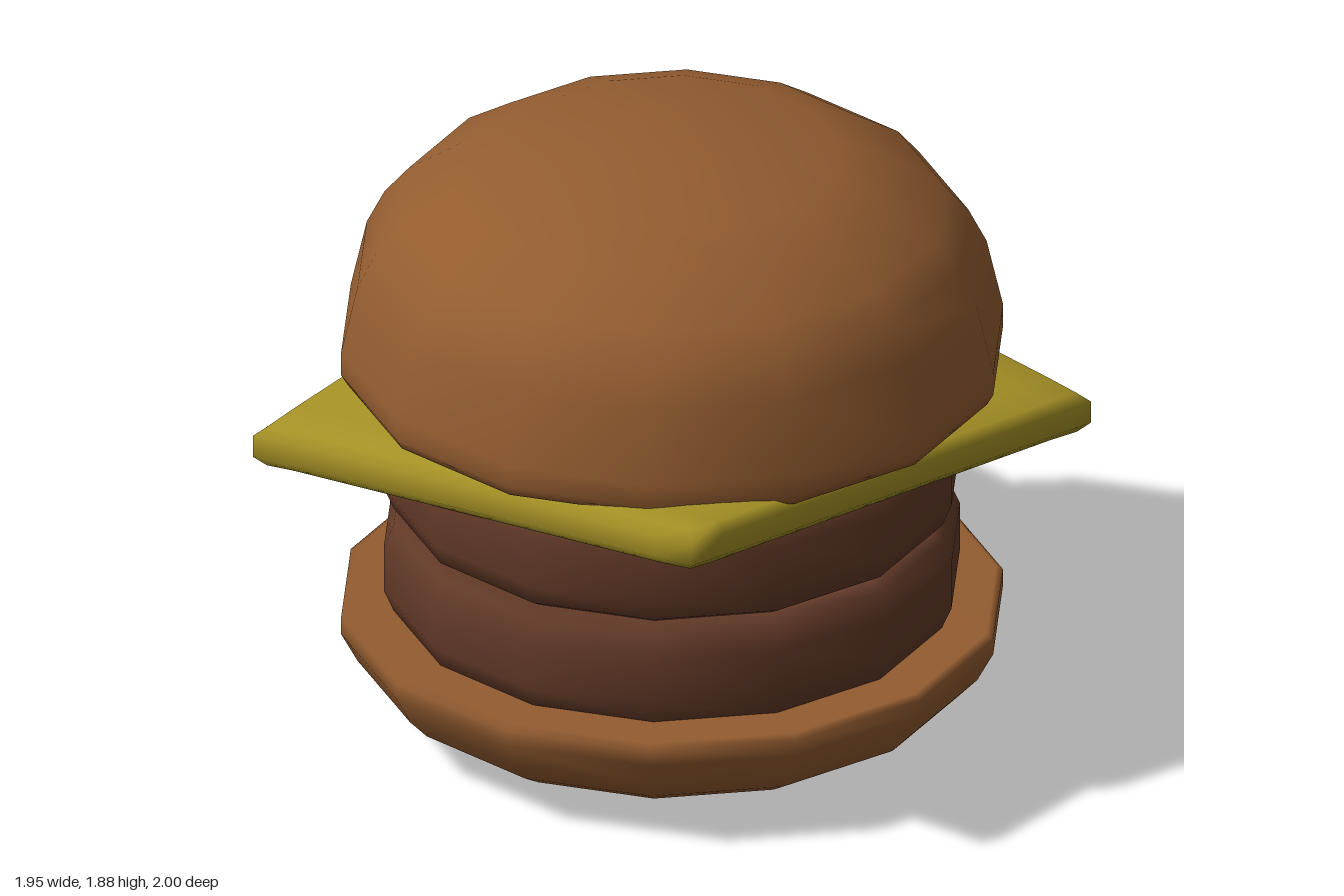
import * as THREE from 'three';
import { mergeVertices } from 'three/addons/utils/BufferGeometryUtils.js';

const SIDES = 14;

function material(name, color) {
  const m = new THREE.MeshStandardMaterial({ color });
  m.name = name;
  return m;
}

// Low-sided round part from a [radius, height] profile, bottom to top
function round(name, profile, mat) {
  const points = profile.map(([r, y]) => new THREE.Vector2(r, y));
  const mesh = new THREE.Mesh(new THREE.LatheGeometry(points, SIDES), mat);
  mesh.name = name;
  return mesh;
}

// Square slice with bevelled rim, bent so two opposite corners droop
function cheeseGeometry() {
  const half = 0.885, thick = 0.13, bevel = 0.03;
  const geo = new THREE.BoxGeometry(half * 2, thick, half * 2, 12, 3, 12);
  geo.deleteAttribute('uv');
  geo.deleteAttribute('normal');
  const pos = geo.attributes.position;
  // middle heights of the four corners
  const frontLeft = 0.93, frontRight = 1.14, backLeft = 1.06, backRight = 0.875;
  for (let i = 0; i < pos.count; i++) {
    let x = pos.getX(i), y = pos.getY(i), z = pos.getZ(i);
    const a = x / half, b = z / half;
    const u = (a + 1) / 2, v = (b + 1) / 2;
    const bend = THREE.MathUtils.lerp(
      THREE.MathUtils.lerp(backRight, backLeft, u),
      THREE.MathUtils.lerp(frontRight, frontLeft, u), v)
      + 0.055 * (1 - a * a) * (1 - b * b);
    if (Math.abs(y) > thick * 0.4) {
      x = THREE.MathUtils.clamp(x, bevel - half, half - bevel);
      z = THREE.MathUtils.clamp(z, bevel - half, half - bevel);
    } else {
      y = Math.sign(y) * (thick / 2 - bevel);
    }
    pos.setXYZ(i, x, y + bend, z);
  }
  const merged = mergeVertices(geo, 1e-4);
  merged.computeVertexNormals();
  return merged;
}

export function createModel() {
  const group = new THREE.Group();
  group.name = 'burger';
  const bun = material('bun brown', 0x935c30);
  const meat = material('patty brown', 0x633a28);
  const cheese = material('cheese yellow', 0xa59125);

  group.add(round('bottomBun', [
    [0, 0.005], [0.575, 0.005], [0.70, 0.03], [0.81, 0.085], [0.89, 0.135],
    [0.95, 0.2], [1, 0.295], [1, 0.345], [0.98, 0.36], [0, 0.36]], bun));

  group.add(round('lowerPatty', [
    [0, 0.33], [0.80, 0.33], [0.84, 0.36], [0.87, 0.43], [0.87, 0.58],
    [0.84, 0.65], [0.80, 0.675], [0, 0.675]], meat));

  group.add(round('upperPatty', [
    [0, 0.68], [0.80, 0.68], [0.84, 0.705], [0.87, 0.775], [0.87, 0.93],
    [0.84, 0.995], [0.79, 1.025], [0.6, 1.075], [0, 1.08]], meat));

  const slice = new THREE.Mesh(cheeseGeometry(), cheese);
  slice.name = 'cheeseSlice';
  group.add(slice);

  group.add(round('topBun', [
    [0, 1.135], [0.98, 1.135], [1, 1.17], [1, 1.24], [0.95, 1.46], [0.895, 1.57],
    [0.82, 1.66], [0.655, 1.77], [0.505, 1.83], [0.205, 1.885], [0, 1.885]], bun));

  // Dark scorch marks under the bottom bun
  for (const [x, z, r] of [[0.37, 0.18, 0.17], [0.09, 0.04, 0.06]]) {
    const mark = new THREE.Mesh(new THREE.CylinderGeometry(r, r, 0.006, 12), meat);
    mark.name = 'scorchMark';
    mark.position.set(x, 0.003, z);
    group.add(mark);
  }
  return group;
}
